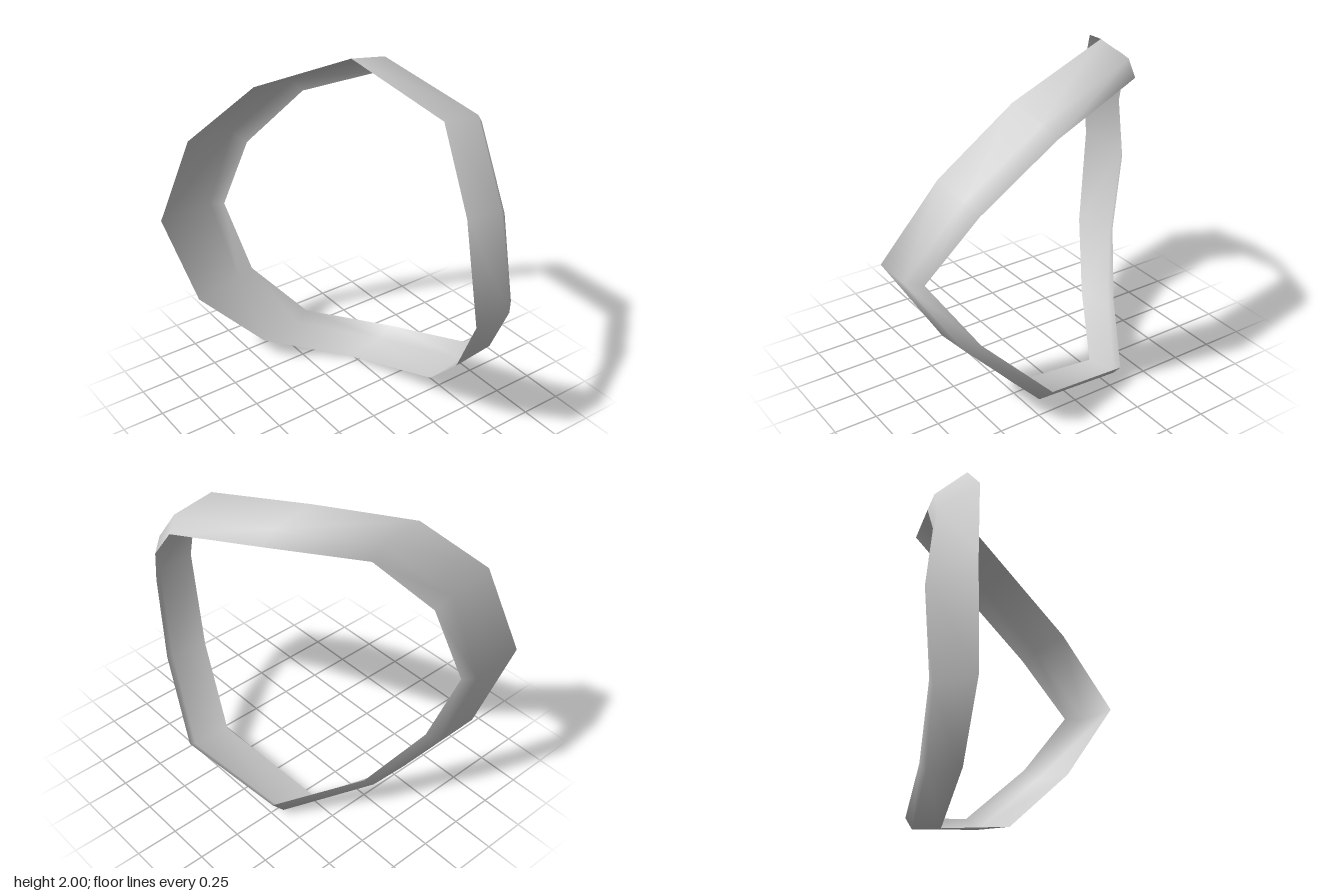
import * as THREE from 'three';

// Cross-sections of the upper half, from the back (y = 1) over the top to the front (y = 1).
// Each has three points: right edge, bevel line, left edge.
const sections = [
  [[-0.68, 1.0, -0.94], [-0.34, 1.0, -0.96], [-0.27, 1.0, -0.91]],
  [[-0.535, 1.53, -0.8], [-0.24, 1.5, -0.82], [-0.165, 1.43, -0.78]],
  [[-0.215, 1.85, -0.59], [0.04, 1.82, -0.6], [0.105, 1.75, -0.59]],
  [[0.24, 2.0, -0.31], [0.47, 1.96, -0.31], [0.54, 1.88, -0.3]],
  [[0.37, 1.83, 0.33], [0.615, 1.8, 0.32], [0.68, 1.73, 0.28]],
  [[0.24, 1.46, 0.69], [0.48, 1.43, 0.69], [0.55, 1.37, 0.64]],
  [[0.1, 1.0, 0.96], [0.33, 1.0, 0.955], [0.41, 1.0, 0.88]],
];

// Smooth open strip round the closed loop, wound to face outwards
function stripGeometry(rings) {
  const n = rings.length, m = rings[0].length, index = [];
  for (let i = 0; i < n; i++) {
    for (let j = 0; j < m - 1; j++) {
      const a = i * m + j, d = ((i + 1) % n) * m + j;
      index.push(a, d + 1, a + 1, a, d, d + 1);
    }
  }
  const geometry = new THREE.BufferGeometry();
  geometry.setAttribute('position', new THREE.Float32BufferAttribute(rings.flat(2), 3));
  geometry.setIndex(index);
  geometry.computeVertexNormals();
  return geometry;
}

export function createModel() {
  const grey = new THREE.MeshStandardMaterial({ color: 0xcccccc, side: THREE.DoubleSide });
  grey.name = 'light grey';

  // Mirror the upper half downwards, shifted slightly to the right, to close the loop
  const lower = sections.slice(1, -1).reverse()
    .map(ring => ring.map(([x, y, z]) => [x - 0.012, 2 - y, z]));

  const band = new THREE.Mesh(stripGeometry([...sections, ...lower]), grey);
  band.name = 'wavyBand';

  const model = new THREE.Group();
  model.name = 'wavyRing';
  model.add(band);
  return model;
}
